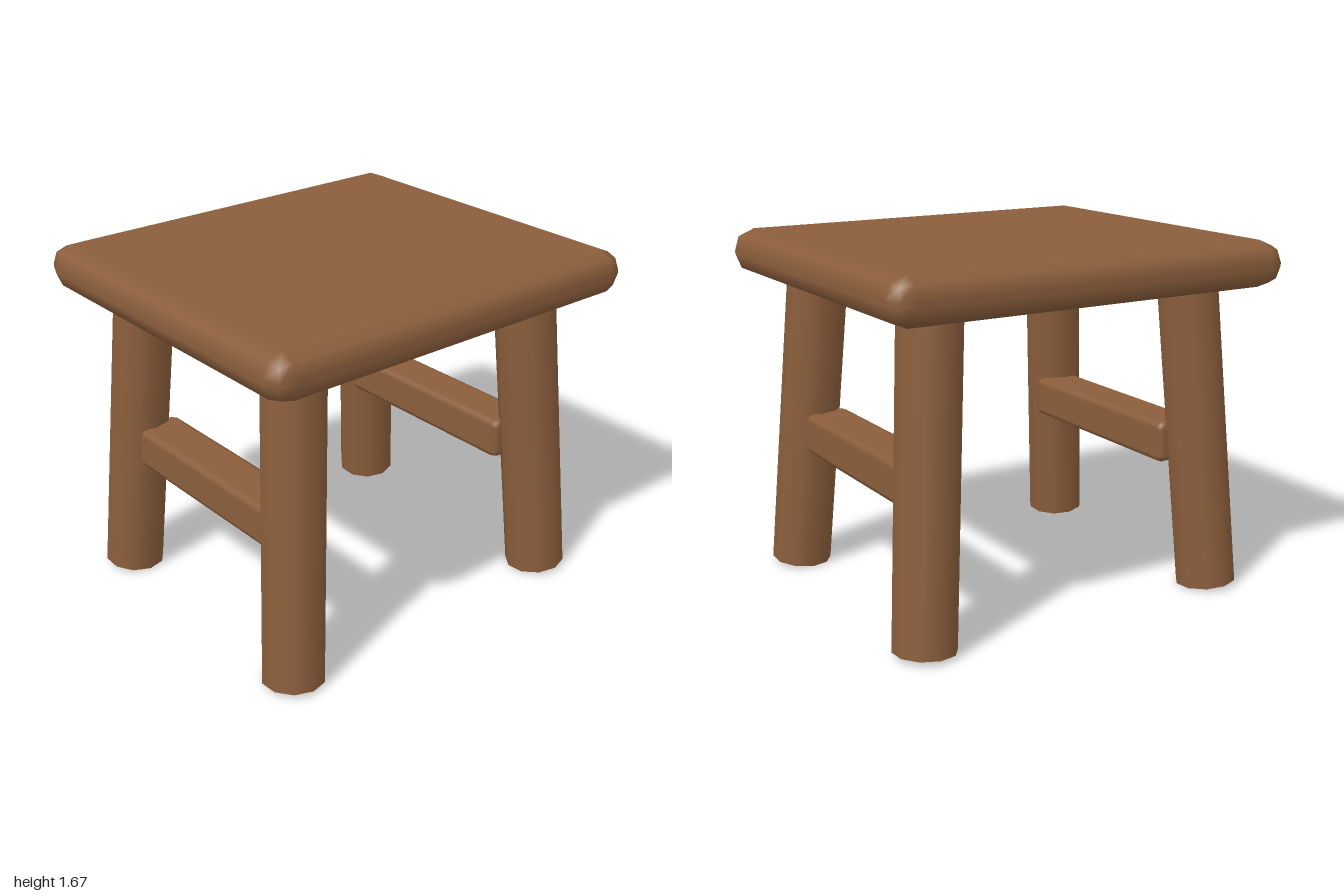
import * as THREE from 'three';
import { RoundedBoxGeometry } from 'three/addons/geometries/RoundedBoxGeometry.js';

export function createModel() {
  const stool = new THREE.Group();
  stool.name = 'stool';

  const wood = new THREE.MeshStandardMaterial({ color: 0x8b5e3c });
  wood.name = 'brown wood';

  const add = (name, geometry) => {
    const mesh = new THREE.Mesh(geometry, wood);
    mesh.name = name;
    stool.add(mesh);
    return mesh;
  };

  // Seat slab with softly rounded edges
  add('seat', new RoundedBoxGeometry(2, 0.215, 1.77, 1, 0.1)).position.y = 1.567;

  // Four ten-sided legs, splayed outwards, their tops sunk into the seat
  const up = new THREE.Vector3(0, 1, 0);
  for (const sx of [-1, 1]) {
    for (const sz of [-1, 1]) {
      const foot = new THREE.Vector3(sx * 0.775, 0.015, sz * 0.655);
      const top = new THREE.Vector3(sx * 0.672, 1.52, sz * 0.556);
      const axis = top.clone().sub(foot);
      const name = (sz > 0 ? 'front' : 'back') + (sx > 0 ? 'Left' : 'Right') + 'Leg';
      const leg = add(name, new THREE.CylinderGeometry(0.145, 0.145, axis.length(), 10));
      leg.position.copy(foot).add(top).multiplyScalar(0.5);
      leg.quaternion.setFromUnitVectors(up, axis.normalize());
    }

    // Side stretcher joining the front and back legs
    const stretcher = add(
      sx > 0 ? 'leftStretcher' : 'rightStretcher',
      new RoundedBoxGeometry(0.23, 0.2, 1.08, 1, 0.035)
    );
    stretcher.position.set(sx * 0.678, 0.7, 0);
  }

  return stool;
}
